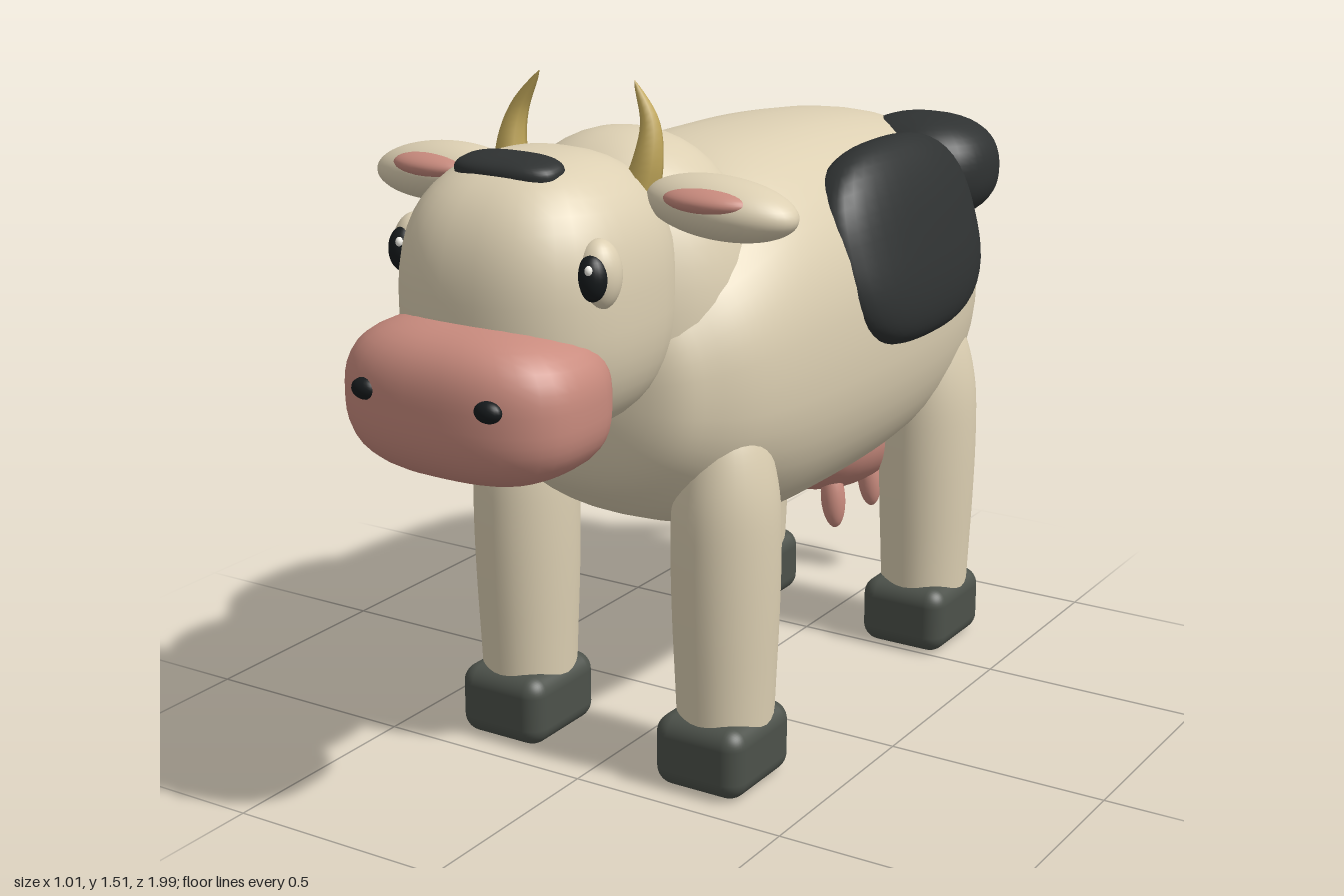
import * as THREE from 'three';
import { mergeVertices } from 'three/addons/utils/BufferGeometryUtils.js';
import { RoundedBoxGeometry } from 'three/addons/geometries/RoundedBoxGeometry.js';

const paint = (color) => new THREE.MeshStandardMaterial({ color });
const cream = paint(0xdccfb2), dark = paint(0x2f3232), pink = paint(0xc98b7e);
const hoofGrey = paint(0x4c514a), hornGold = paint(0xc2a85a), white = paint(0xf4f2ea);
const black = paint(0x161a1c);

// Squared-off ellipsoid: n = 2 is round, larger n is boxier
function blob(rx, ry, rz, n = 2, detail = 40) {
  const g = new THREE.SphereGeometry(1, detail, Math.round(detail * 0.7));
  const p = g.attributes.position, v = new THREE.Vector3();
  const grad = (a) => Math.sign(a) * Math.abs(a) ** (n - 1);
  for (let i = 0; i < p.count; i++) {
    v.fromBufferAttribute(p, i);
    const sum = Math.abs(v.x) ** n + Math.abs(v.y) ** n + Math.abs(v.z) ** n;
    v.multiplyScalar(sum ** (-1 / n));
    p.setXYZ(i, v.x * rx, v.y * ry, v.z * rz);
    v.set(grad(v.x) / rx, grad(v.y) / ry, grad(v.z) / rz).normalize();
    g.attributes.normal.setXYZ(i, v.x, v.y, v.z);
  }
  return g;
}

// Smooth skin through sections [z, bottom, top, half width]
function loft(sections, n, rings = 56, sides = 48) {
  const spline = (f) => new THREE.CatmullRomCurve3(sections.map(f), false, 'catmullrom', 0.5);
  const spine = spline(([z, b, t]) => new THREE.Vector3(z, (b + t) / 2, (t - b) / 2));
  const width = spline(([z, , , w]) => new THREE.Vector3(z, w, 0));
  const pos = [], index = [];
  const bend = (a) => Math.sign(a) * Math.abs(a) ** (2 / n);
  for (let i = 0; i <= rings; i++) {
    const s = spine.getPoint(i / rings), w = width.getPoint(i / rings).y;
    for (let j = 0; j < sides; j++) {
      const a = (j / sides) * Math.PI * 2;
      pos.push(w * bend(Math.cos(a)), s.y + s.z * bend(Math.sin(a)), s.x);
      if (i === rings) continue;
      const p = i * sides + j, q = i * sides + ((j + 1) % sides);
      index.push(p, q, p + sides, q, q + sides, p + sides);
    }
  }
  let g = new THREE.BufferGeometry();
  g.setAttribute('position', new THREE.Float32BufferAttribute(pos, 3));
  g.setIndex(index);
  g = mergeVertices(g);
  g.computeVertexNormals();
  return g;
}

// Tube whose radius follows radiusAt(t)
function taperTube(points, radiusAt, seg, sides) {
  const curve = new THREE.CatmullRomCurve3(points.map((p) => new THREE.Vector3(...p)));
  const g = new THREE.TubeGeometry(curve, seg, 1, sides);
  const p = g.attributes.position, v = new THREE.Vector3();
  for (let i = 0; i < p.count; i++) {
    const t = Math.floor(i / (sides + 1)) / seg, c = curve.getPointAt(t);
    v.fromBufferAttribute(p, i).sub(c).multiplyScalar(radiusAt(t)).add(c);
    p.setXYZ(i, v.x, v.y, v.z);
  }
  return g;
}

export function createModel() {
  const model = new THREE.Group();
  model.name = 'cow';
  const add = (name, geo, mat, pos = [0, 0, 0], rot = [0, 0, 0]) => {
    const m = new THREE.Mesh(geo, mat);
    m.name = name;
    m.position.set(...pos);
    m.rotation.set(...rot);
    model.add(m);
    return m;
  };

  // Barrel body and neck
  add('body', loft([
    [-0.875, 0.9, 0.9, 0], [-0.855, 0.72, 1.1, 0.16], [-0.8, 0.6, 1.21, 0.265],
    [-0.7, 0.52, 1.265, 0.335], [-0.5, 0.475, 1.3, 0.37], [-0.2, 0.465, 1.32, 0.388],
    [0.1, 0.48, 1.31, 0.388], [0.3, 0.54, 1.23, 0.36], [0.42, 0.61, 1.15, 0.3],
    [0.5, 0.7, 1.06, 0.21], [0.54, 0.88, 0.88, 0],
  ], 2.3), cream);
  add('neck', blob(0.285, 0.37, 0.265, 2.15), cream, [0, 1.015, 0.3]);

  // Coat patches
  add('leftFlankPatch', blob(0.09, 0.225, 0.31, 2.6), dark, [0.328, 1.07, -0.31], [0, 0, 0.28]);
  add('rumpPatch', blob(0.175, 0.125, 0.165, 2.4), dark, [0.198, 1.155, -0.675]);
  add('rightFlankPatch', blob(0.08, 0.275, 0.27, 2.4), dark, [-0.348, 0.95, -0.065], [0, 0, -0.12]);

  // Head and muzzle
  add('head', blob(0.25, 0.285, 0.27, 2.5), cream, [0, 1.105, 0.605]);
  add('foreheadPatch', blob(0.117, 0.032, 0.058, 2.8), dark, [0, 1.363, 0.695], [0.12, 0, 0]);
  add('muzzle', blob(0.265, 0.157, 0.18, 2.8), pink, [0, 0.945, 0.813]);

  for (const [side, s] of [['left', 1], ['right', -1]]) {
    // Face details
    add(side + 'Nostril', blob(0.03, 0.022, 0.02, 2, 20), black, [s * 0.145, 0.975, 0.975]);
    add(side + 'Eye', blob(0.045, 0.07, 0.048, 2, 28), cream, [s * 0.218, 1.19, 0.715]);
    add(side + 'Pupil', blob(0.032, 0.046, 0.03, 2, 24), black, [s * 0.224, 1.19, 0.745]);
    add(side + 'EyeGlint', blob(0.008, 0.01, 0.008, 2, 12), white, [s * 0.224 + 0.008, 1.21, 0.769]);

    // Ears and horns
    add(side + 'Ear', blob(0.168, 0.062, 0.085), cream, [s * 0.335, 1.285, 0.463], [0, 0, -s * 0.06]);
    add(side + 'InnerEar', blob(0.1, 0.028, 0.055, 2, 28), pink, [s * 0.33, 1.305, 0.503]);
    add(side + 'Horn', taperTube([
      [s * 0.15, 1.28, 0.475], [s * 0.165, 1.36, 0.46], [s * 0.158, 1.43, 0.442], [s * 0.114, 1.51, 0.43],
    ], (t) => 0.043 * (1 - t) ** 0.75, 16, 8), hornGold);

    // Legs and hooves
    for (const [end, z] of [['Front', 0.31], ['Hind', -0.625]]) {
      const profile = [[0, 0.1], [0.104, 0.1], [0.109, 0.22], [0.115, 0.36], [0.118, 0.5], [0.115, 0.62],
        [0.1, 0.71], [0.076, 0.78], [0.045, 0.82], [0, 0.835]];
      const curve = new THREE.SplineCurve(profile.slice(1).map((p) => new THREE.Vector2(...p)));
      const points = curve.getPoints(32);
      points.forEach((p) => { p.x = Math.max(p.x, 0); });
      const leg = add(side + end + 'Leg', new THREE.LatheGeometry(points, 32), cream, [s * 0.256, 0, z]);
      leg.scale.set(0.96, 1, 1.06);
      add(side + end + 'Hoof', new RoundedBoxGeometry(0.216, 0.16, 0.24, 5, 0.042), hoofGrey,
        [s * 0.255, 0.08, z + 0.012]);
    }

    // Teats
    for (const z of [-0.445, -0.63]) {
      add(side + 'Teat', blob(0.029, 0.075, 0.03, 2, 20), pink, [s * 0.098, 0.375, z], [0, 0, s * 0.1]);
    }
  }

  add('udder', blob(0.2, 0.155, 0.245, 2.1), pink, [0, 0.52, -0.56]);

  // Tail with tuft
  add('tail', taperTube([
    [0, 1.0, -0.835], [0.015, 0.92, -0.885], [0.035, 0.8, -0.94], [0.06, 0.67, -0.958], [0.1, 0.52, -0.948],
  ], (t) => 0.03 - 0.008 * t, 32, 14), cream);
  add('tailTuft', blob(0.055, 0.12, 0.055, 2, 28), dark, [0.108, 0.445, -0.942]);

  return model;
}
